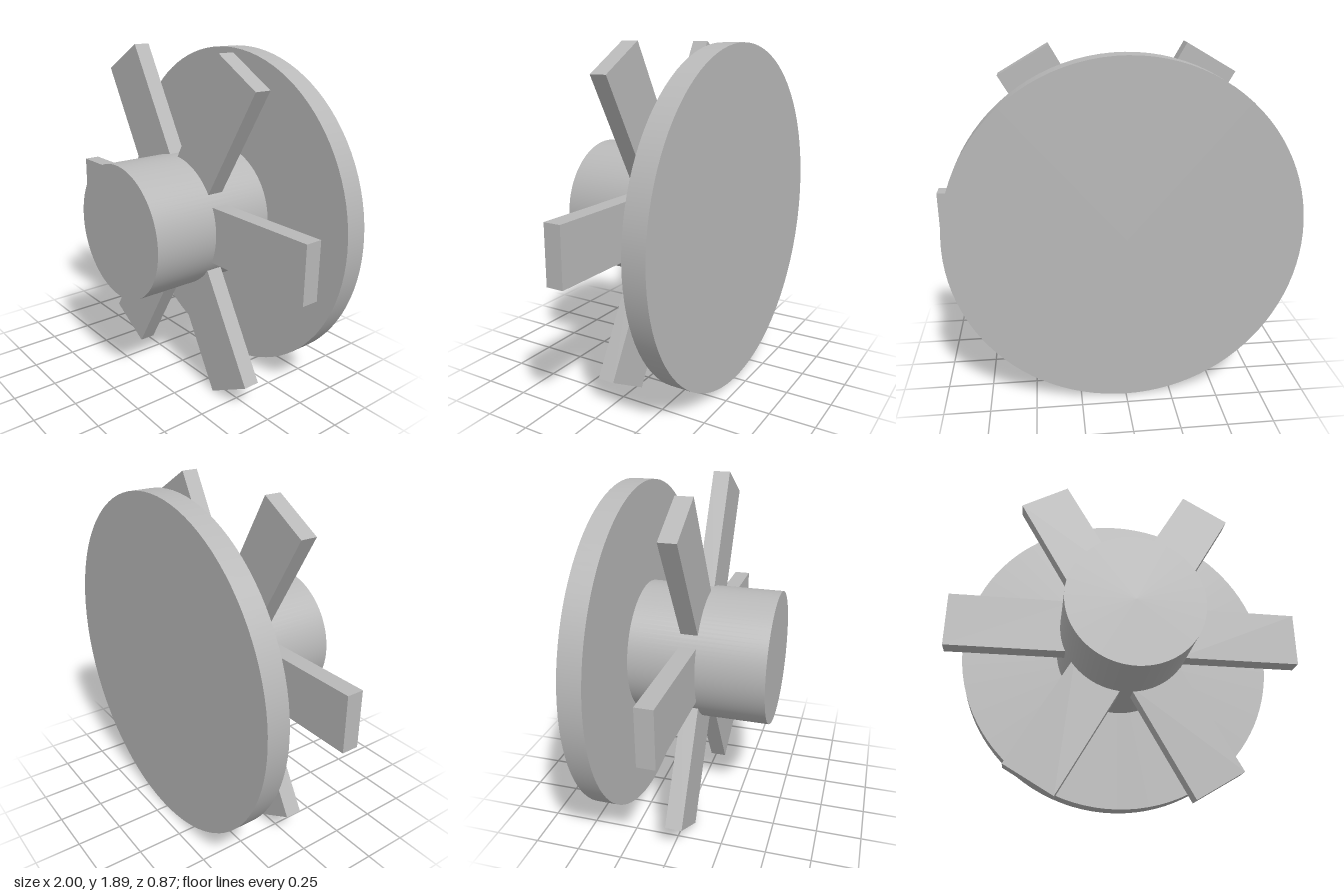
import * as THREE from 'three';

export function createModel() {
  const model = new THREE.Group();
  const grey = new THREE.MeshStandardMaterial({ color: 0xb8b8b8 });
  grey.name = 'plain grey';

  const rotor = new THREE.Group();
  rotor.name = 'rotor';
  rotor.position.y = 0.945;
  model.add(rotor);

  // Round part lying along z, from zBack to zFront
  function disc(name, radius, zBack, zFront) {
    const geometry = new THREE.CylinderGeometry(radius, radius, zFront - zBack, 96);
    geometry.rotateX(Math.PI / 2);
    const mesh = new THREE.Mesh(geometry, grey);
    mesh.name = name;
    mesh.position.z = (zBack + zFront) / 2;
    rotor.add(mesh);
  }

  disc('backPlate', 0.935, -0.437, -0.312);
  disc('hub', 0.373, -0.312, 0.437);

  // Six flat blades rooted in the hub
  const inner = 0.3, outer = 1;
  const bladeGeometry = new THREE.BoxGeometry(outer - inner, 0.31, 0.094);
  bladeGeometry.translate((inner + outer) / 2, 0, 0.0155);
  for (let i = 0; i < 6; i++) {
    const blade = new THREE.Mesh(bladeGeometry, grey);
    blade.name = `blade${i + 1}`;
    blade.rotation.z = (i * Math.PI) / 3;
    rotor.add(blade);
  }

  return model;
}
